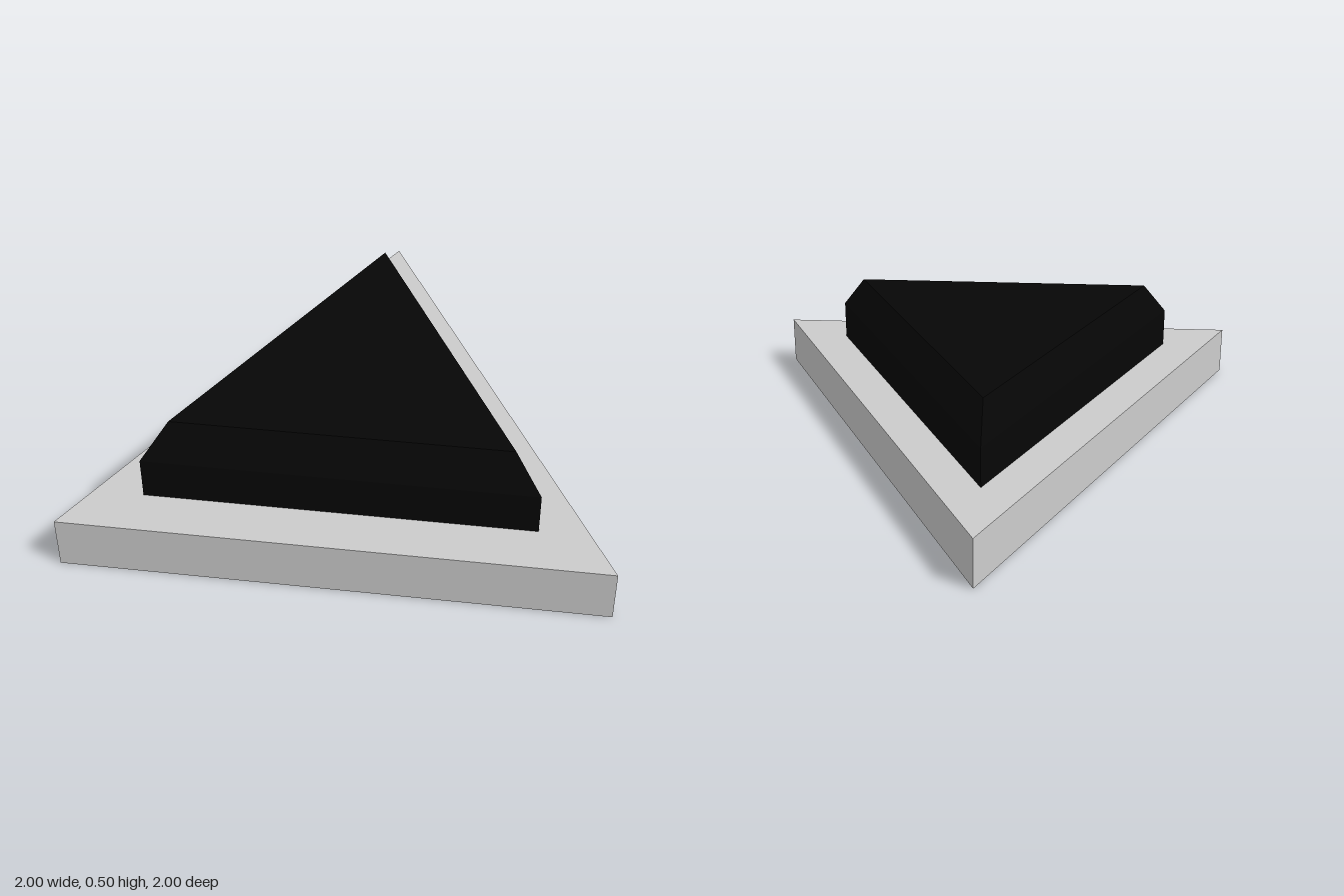
import * as THREE from 'three';

// Triangular frustum with its point towards -z; radii are half the width of the front edge
function triangularBlock(name, topRadius, bottomRadius, bottomY, topY, color) {
  const height = topY - bottomY;
  const geometry = new THREE.CylinderGeometry(topRadius, bottomRadius, height, 3);
  geometry.rotateY(Math.PI);
  geometry.scale(2 / Math.sqrt(3), 1, 4 / 3);
  geometry.translate(0, bottomY + height / 2, 1 / 3);
  const material = new THREE.MeshStandardMaterial({ color, flatShading: true });
  const mesh = new THREE.Mesh(geometry, material);
  mesh.name = name;
  return mesh;
}

export function createModel() {
  const model = new THREE.Group();
  model.name = 'triangularButton';

  // Wide grey plate
  model.add(triangularBlock('basePlate', 1, 1, 0, 0.2, 0xcccccc));

  // Black raised block: straight walls, then a chamfer up to the flat top
  const block = new THREE.Group();
  block.name = 'raisedBlock';
  block.add(triangularBlock('blockWalls', 0.72, 0.72, 0.2, 0.36, 0x060606));
  block.add(triangularBlock('blockChamfer', 0.62, 0.72, 0.36, 0.5, 0x060606));
  model.add(block);

  return model;
}
